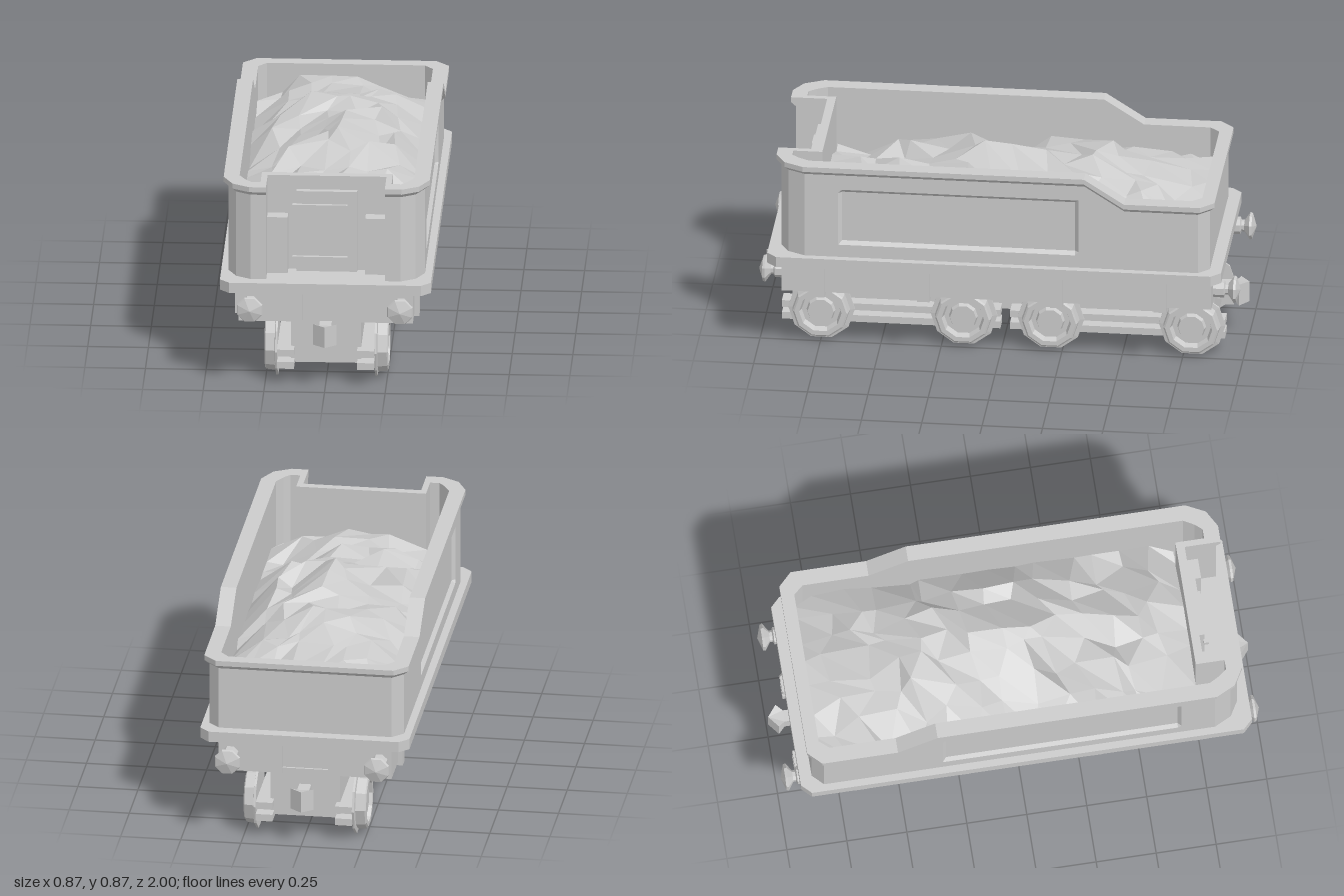
import * as THREE from 'three';

const mat = new THREE.MeshStandardMaterial({ color: 0xcccccc, flatShading: true });
const matDouble = new THREE.MeshStandardMaterial({ color: 0xcccccc, flatShading: true, side: THREE.DoubleSide });

// Height of the tank rim along z: high at the front, sloping down to the rear
const rimHeight = z => THREE.MathUtils.lerp(0.77, 0.875, THREE.MathUtils.clamp((z + 0.525) / 0.165, 0, 1));

// Joins closed rings of equal length into one flat-shaded skin
function loft(rings) {
  const pos = [], n = rings[0].length;
  for (let r = 0; r < rings.length - 1; r++) {
    for (let i = 0; i < n; i++) {
      const j = (i + 1) % n;
      const a = rings[r][i], b = rings[r][j], c = rings[r + 1][j], d = rings[r + 1][i];
      pos.push(...a, ...b, ...c, ...a, ...c, ...d);
    }
  }
  const g = new THREE.BufferGeometry();
  g.setAttribute('position', new THREE.Float32BufferAttribute(pos, 3));
  g.computeVertexNormals();
  return g;
}

// Closed plan outline from front corner, straight side and rear corner, mirrored in x
function outline(front, sideX, rear) {
  const side = [0.66, 0.645, -0.32, -0.335, -0.36, -0.525].map(z => [sideX, z]);
  const half = [...front, ...side, ...rear];
  return [...half, ...half.slice().reverse().map(([x, z]) => [-x, z])];
}

function tankGeometry() {
  const wall = outline([[0.245, 0.775], [0.245, 0.905], [0.31, 0.905], [0.37, 0.87], [0.405, 0.8]],
    0.405, [[0.405, -0.83], [0.36, -0.875]]);
  const rim = outline([[0.245, 0.775], [0.245, 0.925], [0.315, 0.925], [0.385, 0.885], [0.425, 0.805]],
    0.425, [[0.425, -0.84], [0.37, -0.895]]);
  const inner = outline([[0.27, 0.74], [0.27, 0.86], [0.31, 0.86], [0.335, 0.83], [0.36, 0.785]],
    0.36, [[0.36, -0.8], [0.325, -0.84]]);
  const below = (pts, drop) => pts.map(([x, z]) => [x, rimHeight(z) - drop, z]);
  const level = (pts, y) => pts.map(([x, z]) => {
    // sunken panel on each side
    const sunk = Math.abs(x) > 0.4 && z < 0.65 && z > -0.325 && y > 0.525 && y < 0.765;
    return [sunk ? x - Math.sign(x) * 0.015 : x, Math.min(y, rimHeight(z) - 0.04), z];
  });
  return loft([
    ...[0.465, 0.52, 0.535, 0.755, 0.77].map(y => level(wall, y)),
    below(wall, 0.04), below(rim, 0.022), below(rim, 0), below(inner, 0), level(inner, 0.465),
  ]);
}

// Rough mound with jittered vertices
function coalGeometry() {
  let seed = 11;
  const rand = () => (seed = (seed * 16807) % 2147483647) / 2147483647 - 0.5;
  const g = new THREE.PlaneGeometry(0.72, 1.58, 7, 14);
  g.rotateX(-Math.PI / 2).translate(0, 0, -0.05);
  const p = g.attributes.position;
  for (let i = 0; i < p.count; i++) {
    let x = p.getX(i), z = p.getZ(i);
    const edgeX = Math.abs(x) > 0.35, edgeZ = z > 0.73 || z < -0.83;
    if (edgeX && edgeZ) x *= 0.9;
    else {
      if (!edgeX) x += rand() * 0.08;
      if (!edgeZ) z += rand() * 0.09;
    }
    const dome = Math.cos(x / 0.36 * 1.45) * (0.35 + 0.65 * Math.cos(THREE.MathUtils.clamp((z + 0.15) / 0.85, -1, 1) * 1.5));
    const y = 0.6 + 0.21 * dome + rand() * 0.09;
    p.setXYZ(i, x, Math.min(y, rimHeight(z) - 0.03), z);
  }
  g.computeVertexNormals();
  return g;
}

const lathe = (pts, sides) => new THREE.LatheGeometry(pts.map(([r, y]) => new THREE.Vector2(r, y)), sides);

export function createModel() {
  const model = new THREE.Group();
  const add = (name, geometry, material = mat) => {
    const mesh = new THREE.Mesh(geometry, material);
    mesh.name = name;
    model.add(mesh);
    return mesh;
  };
  // Box given by its limits on each axis
  const box = (name, x0, x1, y0, y1, z0, z1) => add(name, new THREE.BoxGeometry(x1 - x0, y1 - y0, z1 - z0)
    .translate((x0 + x1) / 2, (y0 + y1) / 2, (z0 + z1) / 2));
  const pair = (name, x0, x1, ...rest) => {
    box(name + 'Left', x0, x1, ...rest);
    box(name + 'Right', -x1, -x0, ...rest);
  };

  // Deck with cut corners
  const deck = new THREE.Shape();
  [[0.435, 0.915], [0.395, 0.955], [-0.395, 0.955], [-0.435, 0.915],
    [-0.435, -0.885], [-0.395, -0.925], [0.395, -0.925], [0.435, -0.885]]
    .forEach(([x, z], i) => (i ? deck.lineTo(x, -z) : deck.moveTo(x, -z)));
  add('deck', new THREE.ExtrudeGeometry(deck, { depth: 0.045, bevelEnabled: false })
    .rotateX(-Math.PI / 2).translate(0, 0.42, 0));

  // Tank and load
  add('tank', tankGeometry());
  add('coal', coalGeometry(), matDouble);

  // Front bulkhead fittings
  pair('locker', 0.16, 0.245, 0.465, 0.71, 0.77, 0.83);
  box('door', -0.125, 0.125, 0.465, 0.815, 0.77, 0.8);
  for (const y of [0.522, 0.749]) box('doorBar', -0.142, 0.086, y - 0.011, y + 0.011, 0.795, 0.815);

  // Underframe
  pair('sideFrame', 0.095, 0.36, 0.28, 0.42, -0.88, 0.9);
  for (const z of [0.745, 0.31, -0.24, -0.67]) pair('bracket', 0.235, 0.38, 0.265, 0.42, z - 0.026, z + 0.026);
  box('centreFrame', -0.12, 0.12, 0.13, 0.42, -0.86, 0.88);

  // Bogies: frame, rails, axles and wheels
  const wheelProfile = [[0, 0.2], [0.138, 0.2], [0.138, 0.209], [0.119, 0.212], [0.115, 0.25], [0.108, 0.255],
    [0.088, 0.255], [0.08, 0.225], [0.06, 0.225], [0.054, 0.245], [0, 0.245]];
  const bogies = [{ z0: 0.01, z1: 0.915, wheels: [0.75, 0.16] }, { z0: -0.92, z1: -0.03, wheels: [-0.2, -0.785] }];
  for (const { z0, z1, wheels } of bogies) {
    box('bogieFrame', -0.145, 0.145, 0.09, 0.3, z0 + 0.05, z1 - 0.05);
    pair('lowerRail', 0.13, 0.2, 0.077, 0.107, z0, z1);
    pair('upperRail', 0.13, 0.2, 0.13, 0.16, z0, z1);
    for (const z of wheels) {
      add('axle', new THREE.CylinderGeometry(0.014, 0.014, 0.42, 8).rotateZ(Math.PI / 2)).position.set(0, 0.138, z);
      for (const s of [1, -1]) {
        const wheel = add(s > 0 ? 'wheelLeft' : 'wheelRight', lathe(wheelProfile, 10).rotateZ(-s * Math.PI / 2));
        wheel.position.set(0, 0.138, z);
      }
    }
  }

  // Buffers and couplers at both ends
  const bufferProfile = [[0, 0], [0.036, 0], [0.036, 0.045], [0.024, 0.05], [0.024, 0.062], [0.057, 0.085], [0.053, 0.095], [0, 0.112]];
  const head = new THREE.Shape([[-0.025, 0.9], [0.025, 0.9], [0.025, 0.935], [0.048, 0.962], [0, 1], [-0.048, 0.962], [-0.025, 0.935]]
    .map(([x, z]) => new THREE.Vector2(x, -z)));
  for (const end of [1, -1]) {
    for (const x of [0.31, -0.31]) {
      const buffer = add(end > 0 ? 'frontBuffer' : 'rearBuffer',
        lathe(bufferProfile, 8).rotateY(Math.PI / 8).rotateX(end * Math.PI / 2));
      buffer.position.set(x, 0.355, end * 0.885);
    }
    const coupler = new THREE.ExtrudeGeometry(head, { depth: 0.09, bevelEnabled: false })
      .rotateX(-Math.PI / 2).translate(0, -0.045, 0);
    // slimmer behind the head
    const p = coupler.attributes.position;
    for (let i = 0; i < p.count; i++) if (p.getZ(i) < 0.95) p.setY(i, p.getY(i) * 0.65);
    coupler.computeVertexNormals();
    const y = end > 0 ? 0.247 : 0.203;
    const mesh = add(end > 0 ? 'frontCoupler' : 'rearCoupler', coupler);
    mesh.position.y = y;
    mesh.rotation.y = end > 0 ? 0 : Math.PI;
    const z = [end * 0.84, end * 0.91].sort((a, b) => a - b);
    box('couplerStem', -0.025, 0.025, y - 0.029, y + 0.029, z[0], z[1]);
  }
  return model;
}
